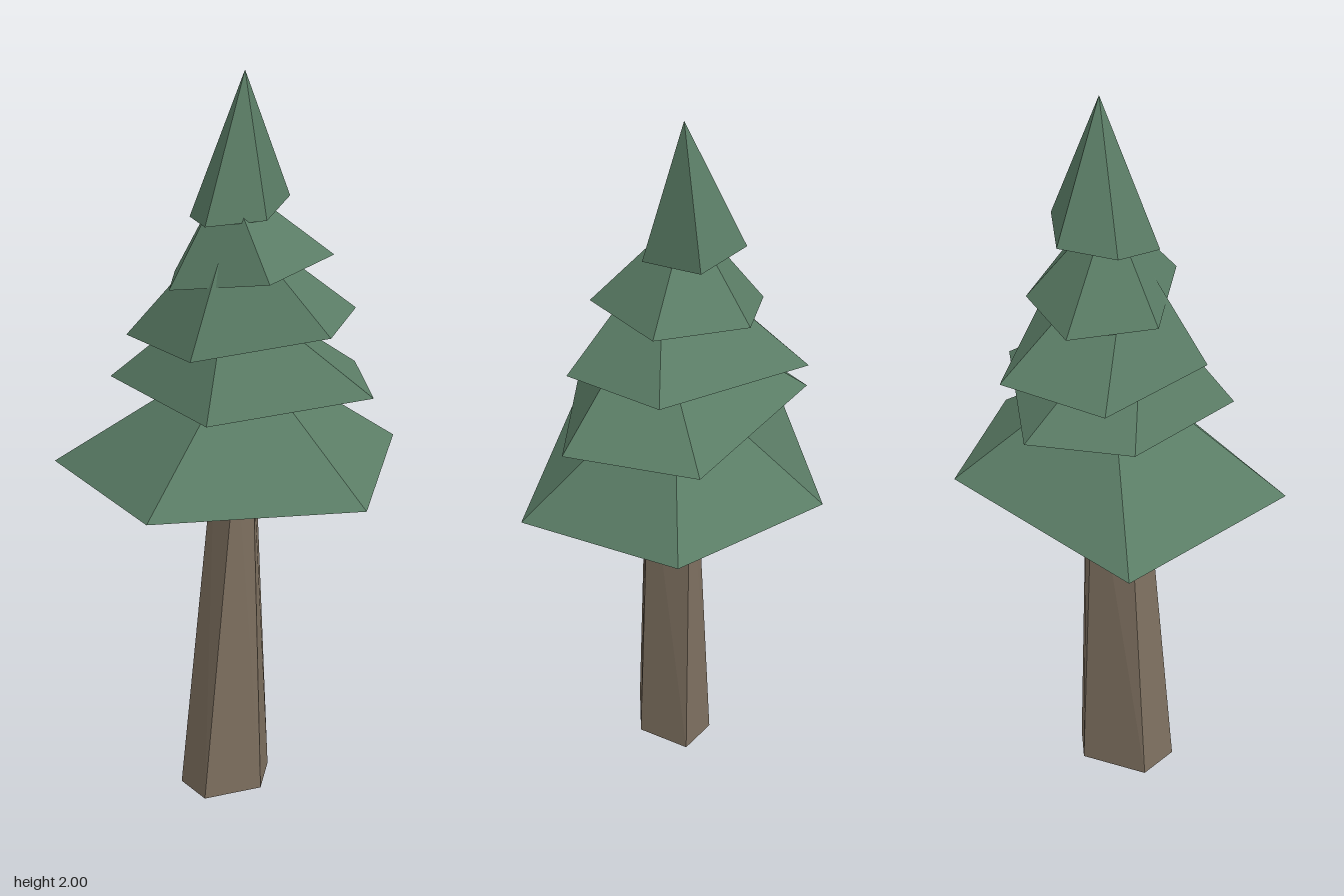
import * as THREE from 'three';

const bark = new THREE.MeshStandardMaterial({ color: 0x7d6f5f, flatShading: true });
const needles = new THREE.MeshStandardMaterial({ color: 0x5a7c65, flatShading: true });

// Joins a ring of corners to a second ring (or a single tip) and closes the ends.
// Rings run counter-clockwise seen from above.
function loft(name, bottom, top, material) {
  const n = bottom.length;
  const middle = (ring) => [0, 1, 2].map((k) => ring.reduce((s, p) => s + p[k], 0) / ring.length);
  const low = middle(bottom);
  const high = middle(top);
  const points = [];
  for (let i = 0; i < n; i++) {
    const j = (i + 1) % n;
    const a = bottom[i], b = bottom[j];
    points.push(b, a, low);
    if (top.length === 1) {
      points.push(a, b, top[0]);
    } else {
      points.push(a, b, top[i], b, top[j], top[i], top[i], top[j], high);
    }
  }
  const geometry = new THREE.BufferGeometry();
  geometry.setAttribute('position', new THREE.Float32BufferAttribute(points.flat(), 3));
  geometry.computeVertexNormals();
  const mesh = new THREE.Mesh(geometry, material);
  mesh.name = name;
  return mesh;
}

// Foliage tiers from the lowest up: tip and uneven five-cornered rim
const tiers = [
  { tip: [0, 1.27, 0], rim: [[-0.365, 0.905, 0.32], [0.205, 0.905, 0.4], [0.46, 0.965, -0.035], [0.16, 0.965, -0.405], [-0.46, 0.905, -0.285]] },
  { tip: [-0.06, 1.46, 0.06], rim: [[-0.19, 1.135, 0.275], [0.27, 1.17, 0.275], [0.36, 1.175, -0.085], [-0.105, 1.17, -0.355], [-0.325, 1.17, -0.165]] },
  { tip: [-0.04, 1.63, 0.03], rim: [[-0.2, 1.28, 0.17], [0.15, 1.34, 0.27], [0.318, 1.355, 0.02], [0, 1.3, -0.355], [-0.265, 1.27, -0.215]] },
  { tip: [-0.035, 1.73, -0.03], rim: [[-0.205, 1.435, 0], [0, 1.48, 0.22], [0.245, 1.51, 0.04], [0.1, 1.47, -0.2], [-0.12, 1.435, -0.23]] },
  { tip: [0.015, 2, -0.025], rim: [[-0.125, 1.61, 0.065], [0.04, 1.62, 0.08], [0.16, 1.655, -0.075], [-0.02, 1.64, -0.185], [-0.125, 1.615, -0.07]] },
];

export function createModel() {
  const tree = new THREE.Group();
  tree.name = 'pineTree';

  // Leaning five-sided trunk, its top hidden in the lowest tier
  const foot = [[-0.15, 0, 0.115], [0.02, 0, 0.1], [0.09, 0, -0.04], [-0.01, 0, -0.105], [-0.18, 0, -0.01]];
  const neck = [[-0.045, 1, 0.08], [0.005, 1, 0.07], [0.05, 1, -0.045], [0, 1, -0.06], [-0.08, 1, 0]];
  tree.add(loft('trunk', foot, neck, bark));

  tiers.forEach(({ tip, rim }, i) => tree.add(loft(`foliageTier${i + 1}`, rim, [tip], needles)));
  return tree;
}
